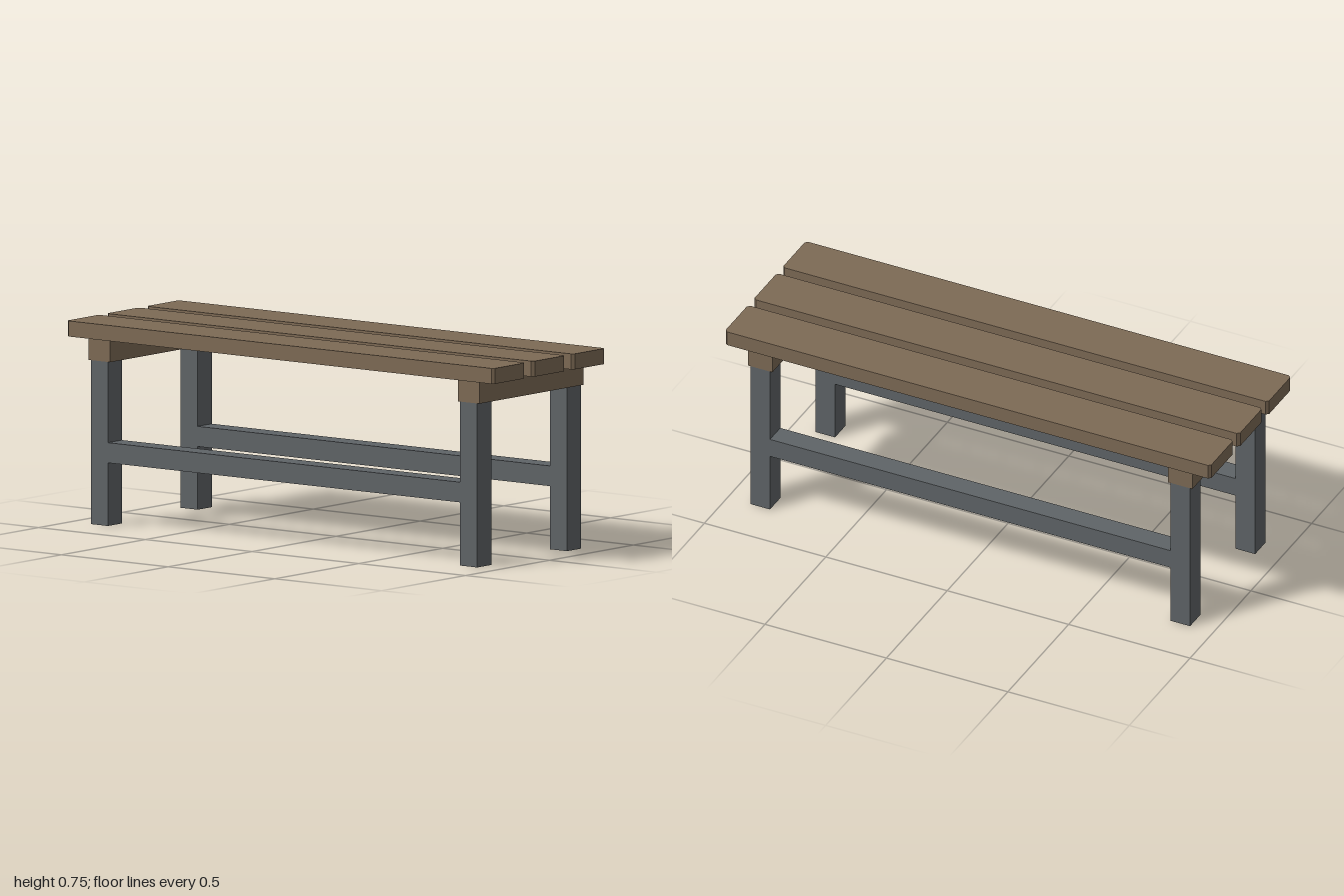
import * as THREE from 'three';

export function createModel() {
  const wood = new THREE.MeshStandardMaterial({ color: 0x7d6a55 });
  wood.name = 'brown wood';
  const steel = new THREE.MeshStandardMaterial({ color: 0x5f6467 });
  steel.name = 'grey steel';

  const bench = new THREE.Group();
  bench.name = 'bench';

  const add = (name, geometry, material, x, y, z) => {
    const mesh = new THREE.Mesh(geometry, material);
    mesh.name = name;
    mesh.position.set(x, y, z);
    bench.add(mesh);
  };

  // Seat planks: rectangles with clipped corners, extruded upwards
  const L = 1, W = 0.0965, c = 0.01;
  const outline = new THREE.Shape([
    [-L + c, -W], [L - c, -W], [L, -W + c], [L, W - c],
    [L - c, W], [-L + c, W], [-L, W - c], [-L, -W + c],
  ].map(([x, y]) => new THREE.Vector2(x, y)));
  const plank = new THREE.ExtrudeGeometry(outline, { depth: 0.058, bevelEnabled: false });
  plank.rotateX(-Math.PI / 2);
  ['backPlank', 'middlePlank', 'frontPlank'].forEach((name, i) =>
    add(name, plank, wood, 0, 0.693, (i - 1) * 0.2375));

  // Cross beams, notched slightly into the planks
  const beam = new THREE.BoxGeometry(0.1, 0.09, 0.62);
  // Legs and the long rails flush between them
  const leg = new THREE.BoxGeometry(0.08, 0.61, 0.085);
  const rail = new THREE.BoxGeometry(1.65, 0.075, 0.085);
  const legZ = 0.2675;

  for (const sx of [-1, 1]) {
    const side = sx > 0 ? 'left' : 'right';
    add(side + 'CrossBeam', beam, wood, sx * 0.865, 0.655, 0);
    add(side + 'FrontLeg', leg, steel, sx * 0.865, 0.305, legZ);
    add(side + 'BackLeg', leg, steel, sx * 0.865, 0.305, -legZ);
  }
  add('frontRail', rail, steel, 0, 0.2725, legZ);
  add('backRail', rail, steel, 0, 0.2725, -legZ);

  return bench;
}
